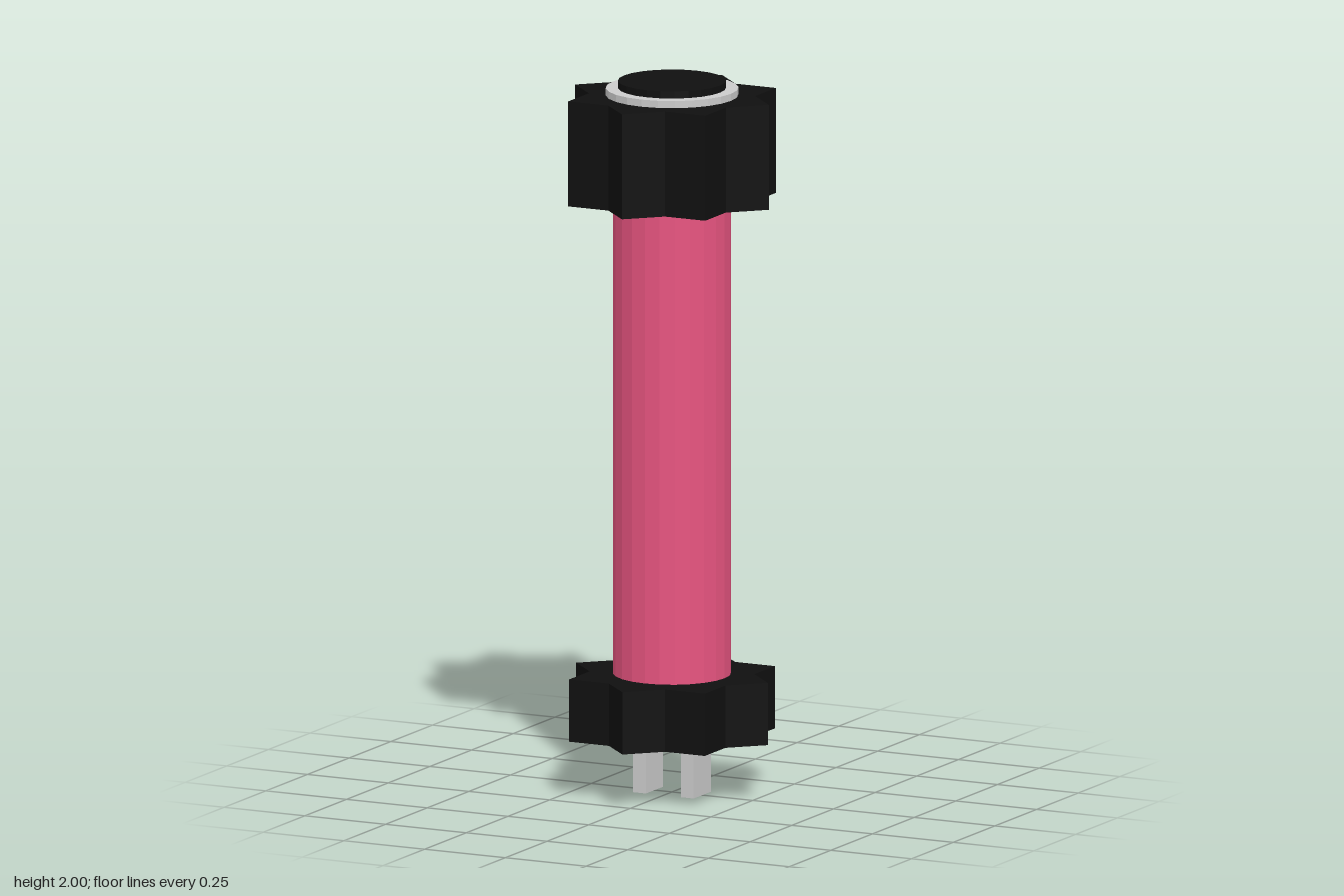
import * as THREE from 'three';

const grey = new THREE.MeshStandardMaterial({ color: 0xcccccc, flatShading: true });
const black = new THREE.MeshStandardMaterial({ color: 0x101010, flatShading: true });
const pink = new THREE.MeshStandardMaterial({ color: 0xe75480, flatShading: true });

export function createModel() {
  const model = new THREE.Group();
  model.name = 'model';

  function add(name, geometry, material, x, y) {
    const mesh = new THREE.Mesh(geometry, material);
    mesh.name = name;
    mesh.position.set(x, y, 0);
    model.add(mesh);
  }

  // Round part spanning y0 to y1
  function disc(name, radius, y0, y1, material) {
    add(name, new THREE.CylinderGeometry(radius, radius, y1 - y0, 24), material, 0, (y0 + y1) / 2);
  }

  // Eight-pointed collar: outline of two squares turned 45 degrees apart
  function starCollar(name, radius, y0, y1) {
    const inner = radius * Math.SQRT1_2 / Math.cos(Math.PI / 8);
    const points = [];
    for (let i = 0; i < 16; i++) {
      const r = i % 2 ? inner : radius;
      const a = i * Math.PI / 8;
      points.push(new THREE.Vector2(r * Math.cos(a), r * Math.sin(a)));
    }
    const geometry = new THREE.ExtrudeGeometry(new THREE.Shape(points), { depth: y1 - y0, bevelEnabled: false });
    geometry.rotateX(-Math.PI / 2);
    add(name, geometry, black, 0, y0);
  }

  // Tube and its two collars
  disc('tube', 0.163, 0.3, 1.7, pink);
  starCollar('bottomCollar', 0.297, 0.16, 0.335);
  starCollar('topCollar', 0.3, 1.665, 1.96);

  // Button on top with its metal rim
  disc('buttonRim', 0.183, 1.94, 1.98, grey);
  disc('button', 0.149, 1.95, 2.0, black);

  // Plug prongs
  for (const side of [-1, 1]) {
    add(side > 0 ? 'leftProng' : 'rightProng', new THREE.BoxGeometry(0.04, 0.18, 0.104), grey, side * 0.074, 0.09);
  }

  return model;
}
